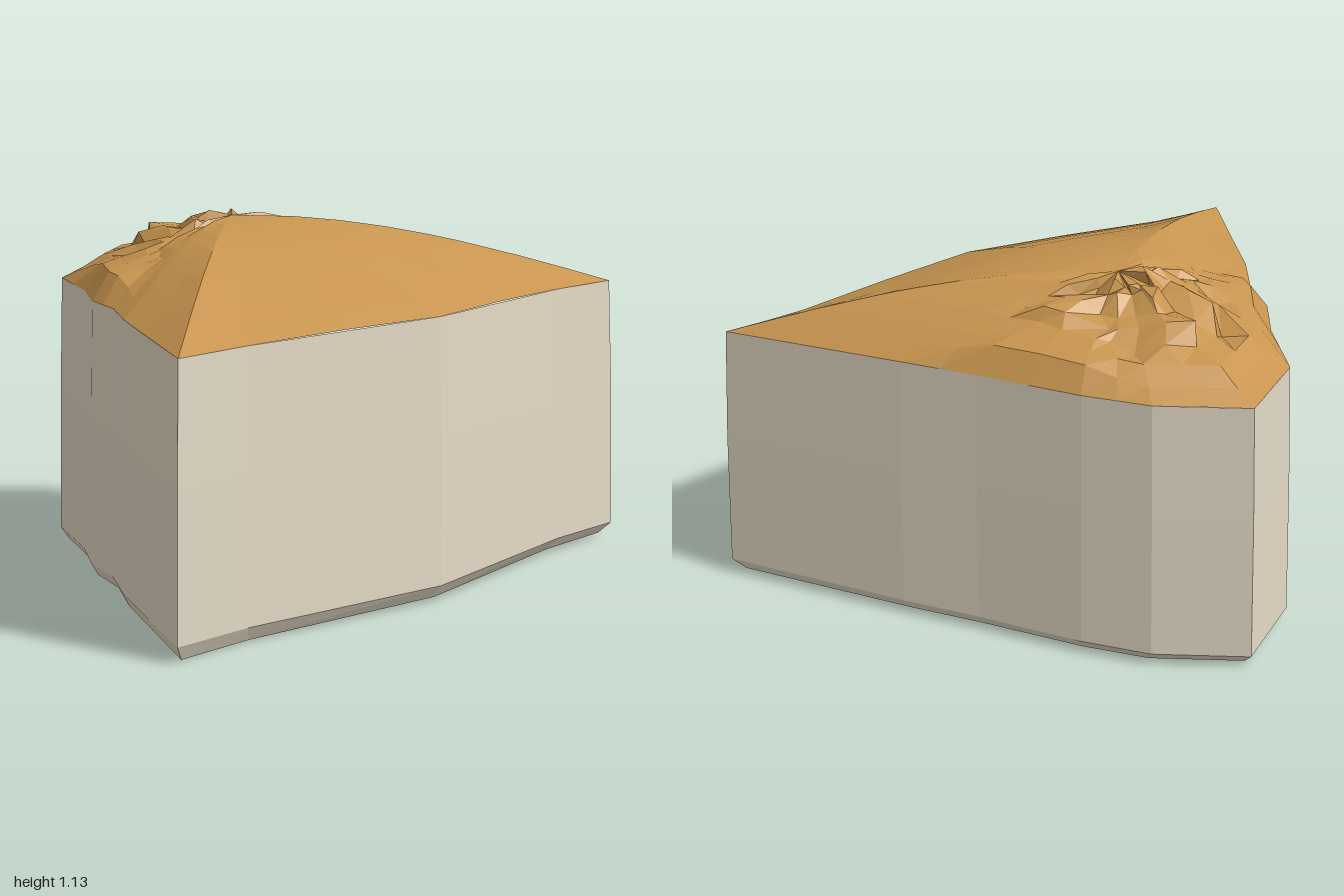
import * as THREE from 'three';

const { lerp, smoothstep } = THREE.MathUtils;

// Rounded-triangle plan, [x, z], starting at the front corner on -x
const PLAN = [
  [-0.99, 0.69], [-0.72, 0.69], [0, 0.78], [0.7, 0.655], [0.99, 0.64], [0.65, 0.1],
  [0.5, -0.12], [0.31, -0.42], [0.17, -0.6], [-0.08, -0.78], [-0.35, -0.6],
  [-0.47, -0.34], [-0.58, -0.17], [-0.63, -0.01], [-0.74, 0.17],
];
const APEX = [-0.03, 1.11, -0.11];

// Crust rings: distance from rim to apex, and relative height for flank and tip
const STEPS = [0, 0.12, 0.24, 0.4, 0.48, 0.6, 0.72, 0.84, 1];
const FLANK = [0, 0.38, 0.46, 0.55, 0.68, 0.78, 0.86, 0.95, 1];
const TIP = [0, 0.16, 0.36, 0.4, 0.66, 0.74, 0.83, 0.95, 1];

function seeded(seed) {
  return () => {
    seed = (seed * 16807) % 2147483647;
    return seed / 2147483647;
  };
}

// Split each plan segment into n pieces
function subdivide(plan, n) {
  return plan.flatMap((p, i) => {
    const q = plan[(i + 1) % plan.length];
    return Array.from({ length: n }, (_, k) => [lerp(p[0], q[0], k / n), lerp(p[1], q[1], k / n)]);
  });
}

// Skin a stack of closed rings, skipping triangles that collapse to a line
function loft(rings) {
  const out = [];
  const tri = (...pts) => {
    const [a, b, c] = pts.map((p) => new THREE.Vector3(...p));
    if (b.clone().sub(a).cross(c.clone().sub(a)).length() > 1e-7) out.push(...pts.flat());
  };
  for (let r = 0; r < rings.length - 1; r++) {
    const a = rings[r], b = rings[r + 1];
    for (let i = 0; i < a.length; i++) {
      const k = (i + 1) % a.length;
      tri(a[i], a[k], b[k]);
      tri(a[i], b[k], b[i]);
    }
  }
  const g = new THREE.BufferGeometry();
  g.setAttribute('position', new THREE.Float32BufferAttribute(out, 3));
  g.computeVertexNormals();
  return g;
}

// Rim height: a little higher in the middle of the front and sides
const rimY = (x, z) => 0.872 + 0.014 * (1 - smoothstep(Math.hypot(x, z), 0.7, 1.1));

function makeBody() {
  const ring = (scale, y) => PLAN.map(([x, z]) => [x * scale, y(x, z), z * scale]);
  return loft([
    PLAN.map(() => [0, 0.02, 0]),
    ring(0.972, (x) => 0.012 + 0.012 * x * (x < 0 ? 1 : 0.3)),
    ring(1.01, (x, z) => 0.05 + 0.012 * (1 - Math.abs(x)) * (z > 0.6 ? 0.3 : -1)),
    ring(1.0, () => 0.5),
    ring(0.985, rimY),
  ]);
}

function makeCrust() {
  const rand = seeded(41);
  const rim = subdivide(PLAN, 2);
  const rings = STEPS.map((t, j) => rim.map(([px, pz]) => {
    const x0 = px * 0.985, z0 = pz * 0.985, y0 = rimY(px, pz);
    // Smooth dome at the front, steep flanks, terraces at the tip
    const flank = smoothstep(-z0, -0.06, 0.12);
    const tip = smoothstep(-z0, 0.35, 0.58);
    const rise = lerp(lerp(Math.sin(t * Math.PI / 2), FLANK[j], flank), TIP[j], tip);
    let x = lerp(x0, APEX[0], t), z = lerp(z0, APEX[2], t), y = lerp(y0, APEX[1], rise);
    // Broken crags behind the apex
    const a = rand() - 0.5, b = rand() - 0.5, c = rand() - 0.5;
    if (j > 2 && j < STEPS.length - 1) {
      const rough = smoothstep(-z, 0.02, 0.16);
      x += a * 0.05 * rough;
      z += b * 0.04 * rough;
      y += c * 0.06 * rough;
    }
    return [x, y, z];
  }));
  return loft(rings);
}

export function createModel() {
  const group = new THREE.Group();
  group.name = 'wedgeSlice';
  const add = (name, geometry, color) => {
    const mesh = new THREE.Mesh(geometry, new THREE.MeshStandardMaterial({ color, flatShading: true }));
    mesh.name = name;
    group.add(mesh);
  };
  add('body', makeBody(), 0xe3d9c4);
  add('crust', makeCrust(), 0xc8954f);
  return group;
}
